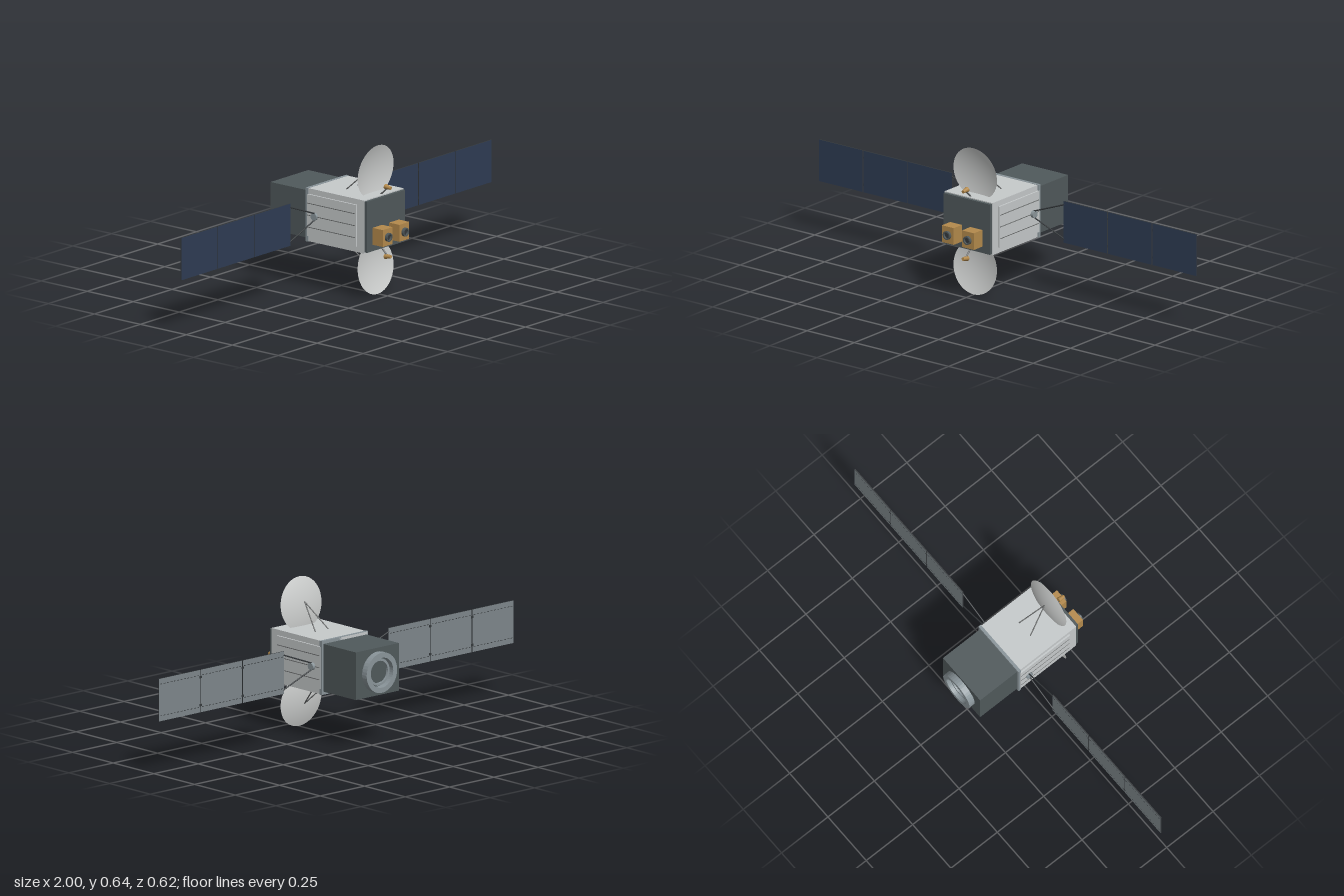
import * as THREE from 'three';

const mat = (name, color, side = THREE.FrontSide) => {
  const m = new THREE.MeshStandardMaterial({ color, side });
  m.name = name;
  return m;
};

export function createModel() {
  const hull = mat('hull grey', 0xc6cacb);
  const dark = mat('dark insulation', 0x50595b);
  const steel = mat('steel grey', 0x8a959a, THREE.DoubleSide);
  const gold = mat('gold foil', 0xb48a4c);
  const navy = mat('solar cell navy', 0x2e3c53);
  const backing = mat('panel backing', 0x7d868a);
  const strut = mat('strut charcoal', 0x35393c);
  const dishMat = mat('dish white', 0xcfd1d0, THREE.DoubleSide);
  const rod = mat('rod grey', 0x686a6a);

  const model = new THREE.Group();
  model.name = 'satellite';
  const CY = 0.323; // height of the long axis
  const CX = -0.002;

  const add = (parent, name, geo, material, x = 0, y = 0, z = 0) => {
    const mesh = new THREE.Mesh(geo, material);
    mesh.name = name;
    mesh.position.set(x, y, z);
    parent.add(mesh);
    return mesh;
  };
  const box = (parent, name, material, w, h, d, x, y, z) =>
    add(parent, name, new THREE.BoxGeometry(w, h, d), material, x, y, z);
  // Tapered round bar between two points
  const bar = (parent, name, material, a, b, ra, rb = ra, sides = 10) => {
    const p = new THREE.Vector3(...a), q = new THREE.Vector3(...b);
    const mesh = add(parent, name, new THREE.CylinderGeometry(rb, ra, p.distanceTo(q), sides), material);
    mesh.position.copy(p).add(q).multiplyScalar(0.5);
    mesh.quaternion.setFromUnitVectors(new THREE.Vector3(0, 1, 0), q.sub(p).normalize());
    return mesh;
  };
  // Flat ring with a hole, extruded along z
  const ring = (parent, name, material, outer, inner, depth, x, y, z) => {
    const shape = new THREE.Shape().absarc(0, 0, outer, 0, Math.PI * 2);
    shape.holes.push(new THREE.Path().absarc(0, 0, inner, 0, Math.PI * 2, true));
    const geo = new THREE.ExtrudeGeometry(shape, { depth, bevelEnabled: false, curveSegments: 20 });
    return add(parent, name, geo, material, x, y, z);
  };

  // Main body, front plate, rear collar and rear module
  box(model, 'body', hull, 0.254, 0.2285, 0.314, CX, CY, 0.074);
  box(model, 'frontPlate', dark, 0.246, 0.22, 0.013, CX, CY, 0.2375);
  box(model, 'rearCollar', steel, 0.262, 0.231, 0.013, CX, CY, -0.0765);
  box(model, 'rearModule', dark, 0.243, 0.204, 0.199, CX, CY, -0.1825);

  // Docking ring at the rear
  ring(model, 'rearRing', steel, 0.086, 0.064, 0.028, CX, CY, -0.31);
  ring(model, 'rearInnerRing', steel, 0.058, 0.048, 0.012, CX, CY, -0.294);
  box(model, 'rearRecess', dark, 0.088, 0.088, 0.004, CX, CY, -0.284);

  // Radiator panels with thin grooves on both sides
  for (const s of [-1, 1]) {
    box(model, 'radiatorPanel', hull, 0.008, 0.18, 0.268, CX + s * 0.13, CY, 0.06);
    for (const dy of [-0.0515, 0, 0.0515])
      box(model, 'radiatorGroove', rod, 0.003, 0.003, 0.26, CX + s * 0.1335, CY + dy, 0.059);
  }

  // Front instruments
  for (const s of [-1, 1]) {
    const x = -0.0045 + s * 0.0535, y = 0.2775;
    box(model, 'instrumentBox', gold, 0.063, 0.073, 0.056, x, y, 0.272);
    ring(model, 'instrumentBarrel', dark, 0.0185, 0.013, 0.012, x, y, 0.299);
    add(model, 'instrumentLens', new THREE.CircleGeometry(0.013, 24), strut, x, y, 0.303);
  }

  // Dishes above and below, each with a feed horn and V-shaped brace
  const R = 0.115, depth = 0.0155, tilt = 0.103;
  const profile = [];
  for (let i = 0; i <= 12; i++) {
    const t = i / 12;
    profile.push(new THREE.Vector2(R * t, depth * (t * t - 1)));
  }
  for (const s of [1, -1]) {
    const g = new THREE.Group();
    g.name = s > 0 ? 'upperAntenna' : 'lowerAntenna';
    g.position.set(CX, CY, 0);
    g.scale.y = s;
    model.add(g);
    const dish = add(g, 'dish', new THREE.LatheGeometry(profile, 48), dishMat, 0, 0.206, 0.187);
    dish.rotation.x = Math.PI / 2 + tilt;
    for (const side of [-1, 1])
      bar(g, 'dishBrace', rod, [side * 0.038, 0.11, 0.055], [0, 0.218, 0.165], 0.0025);
    bar(g, 'feedStem', rod, [0, 0.108, 0.211], [0, 0.145, 0.25], 0.0035);
    bar(g, 'feedHorn', gold, [0, 0.1475, 0.2695], [0, 0.151, 0.24], 0.007, 0.011, 16);
  }

  // Solar wings: hub, yoke and three panels on each side
  const PZ = -0.03, H = 0.182, W = 0.232, PITCH = 0.2365;
  const panelFaces = [strut, strut, strut, strut, navy, backing];
  for (const s of [-1, 1]) {
    const wing = new THREE.Group();
    wing.name = s > 0 ? 'leftWing' : 'rightWing';
    wing.position.set(0, CY, PZ);
    model.add(wing);
    bar(wing, 'wingHub', steel, [s * 0.12, 0, 0], [s * 0.145, 0, 0], 0.016, 0.016, 20);
    for (const v of [-1, 1])
      bar(wing, 'yokeArm', strut, [s * 0.138, v * 0.014, 0], [s * 0.3, v * 0.076, 0], 0.003);
    for (let i = 0; i < 3; i++) {
      const x = s * (1 - W / 2 - i * PITCH);
      box(wing, 'solarPanel', panelFaces, W, H, 0.005, x, 0, 0);
      // Dashed seams on the back
      for (const v of [-1, 1])
        for (let k = 0; k < 12; k++)
          box(wing, 'backSeam', strut, 0.01, 0.0025, 0.001, x + (k - 5.5) * 0.019, v * 0.068, -0.0027);
      // Hinges bridging to the next panel
      if (i < 2)
        for (const v of [-1, 1])
          box(wing, 'panelHinge', strut, 0.012, 0.01, 0.003, x - s * PITCH / 2, v * 0.06, -0.002);
    }
  }
  return model;
}
